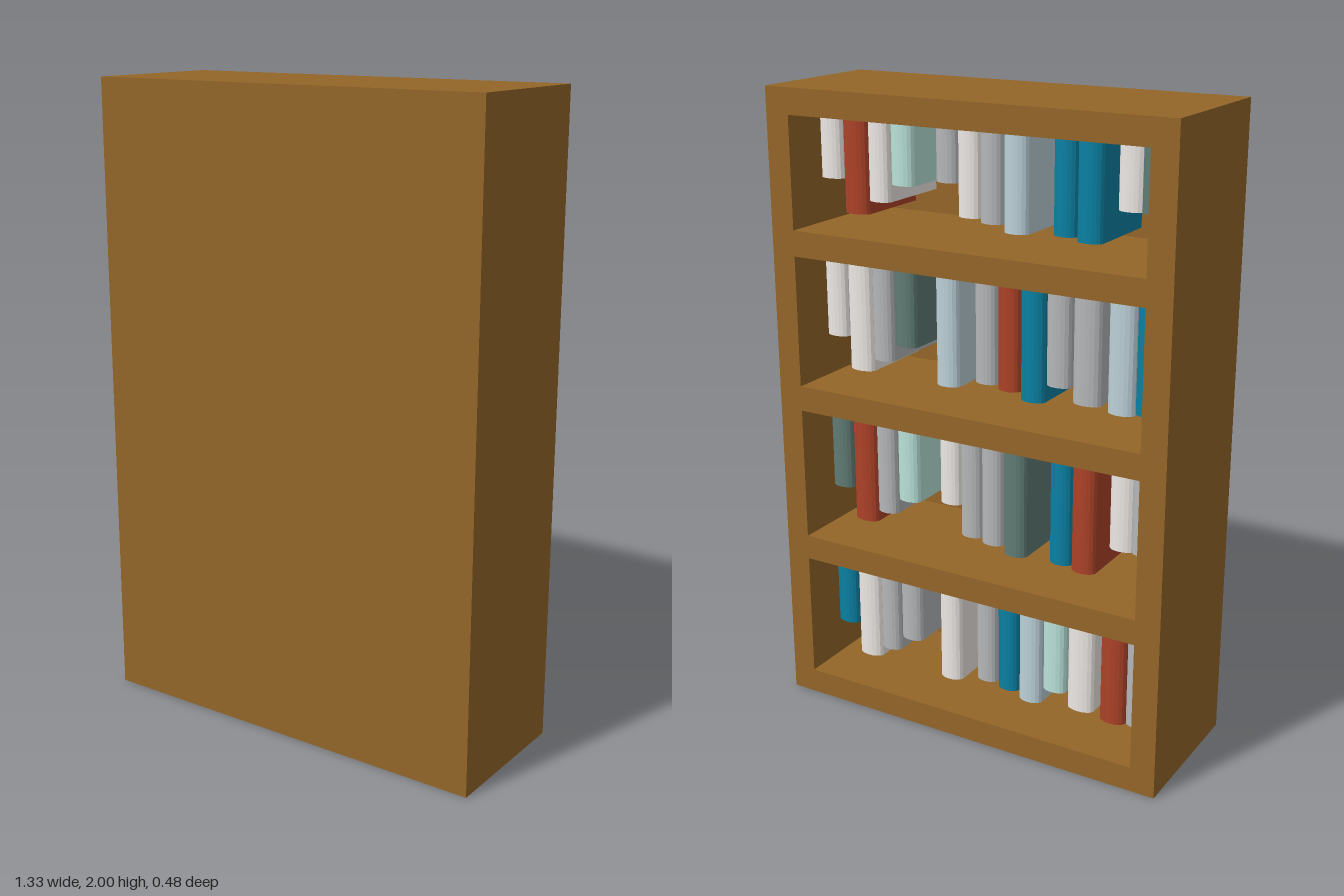
import * as THREE from 'three';

const W = 1.33, H = 2, D = 0.48, T = 0.08, PANEL = 0.04;
const INNER = W / 2 - T;            // half width of the compartments
const SPINE_Z = -0.13, BOOK_DEPTH = 0.27;

const mat = (color) => new THREE.MeshStandardMaterial({ color });
const WOOD = mat(0x946629);
const COLORS = {
  w: mat(0xece8e4), g: mat(0xb4b6b8), b: mat(0xbcd0d8), m: mat(0xb9e2d8),
  d: mat(0x5f7a74), t: mat(0x0b80a2), r: mat(0xac4228),
};
const PAGES = mat(0xf2f0ec);

// Slots: distance from the left inner wall, thickness, gap above the shelf
const SLOTS_A = [
  [0.06, 0.08, 0.146], [0.148, 0.088, 0.046], [0.232, 0.075, 0.09], [0.315, 0.08, 0.146],
  [0.47, 0.075, 0.17], [0.545, 0.075, 0.075], [0.62, 0.075, 0.065], [0.7, 0.08, 0.045],
  [0.858, 0.075, 0.055], [0.935, 0.08, 0.045], [1.06, 0.08, 0.146], [1.128, 0.075, 0.146],
];
const SLOTS_B = [
  [0.06, 0.08, 0.146], [0.148, 0.088, 0.046], [0.232, 0.075, 0.09], [0.315, 0.08, 0.146],
  [0.465, 0.08, 0.045], [0.6, 0.075, 0.075], [0.678, 0.075, 0.065], [0.757, 0.08, 0.045],
  [0.843, 0.08, 0.105], [0.935, 0.09, 0.065], [1.045, 0.085, 0.055], [1.128, 0.075, 0.065],
];
// Compartments from top to bottom: floor, ceiling, slots, book colours
const ROWS = [
  { y0: 1.575, y1: 1.92, slots: SLOTS_A, books: 'wrwmgwgbttwd' },
  { y0: 1.08, y1: 1.495, slots: SLOTS_B, books: 'wwgdbgrtggbt' },
  { y0: 0.57, y1: 1.0, slots: SLOTS_A, books: 'drgmwggdtrwg' },
  { y0: 0.08, y1: 0.49, slots: SLOTS_B, books: 'twggwgtbmwrg' },
];

function add(parent, name, geometry, material, x = 0, y = 0, z = 0) {
  const mesh = new THREE.Mesh(geometry, material);
  mesh.name = name;
  mesh.position.set(x, y, z);
  parent.add(mesh);
}

function rect(path, x0, y0, x1, y1) {
  path.moveTo(x0, y0).lineTo(x1, y0).lineTo(x1, y1).lineTo(x0, y1).closePath();
  return path;
}

// Cover: two boards joined by a rounded spine, seen from above, extruded upward
function coverGeometry(w, h) {
  const r = w / 2, b = 0.008, bulge = 0.022, s = new THREE.Shape();
  s.moveTo(-r, -BOOK_DEPTH);
  s.lineTo(-r + b, -BOOK_DEPTH);
  s.lineTo(-r + b, -bulge - b);
  s.lineTo(r - b, -bulge - b);
  s.lineTo(r - b, -BOOK_DEPTH);
  s.lineTo(r, -BOOK_DEPTH);
  s.lineTo(r, -bulge);
  s.bezierCurveTo(r * 0.8, bulge * 0.35, -r * 0.8, bulge * 0.35, -r, -bulge);
  s.closePath();
  const geo = new THREE.ExtrudeGeometry(s, { depth: h, bevelEnabled: false, curveSegments: 8 });
  return geo.rotateX(-Math.PI / 2);
}

function makeBook(w, h, cover) {
  const book = new THREE.Group();
  book.name = 'book';
  add(book, 'bookCover', coverGeometry(w, h), cover);
  const depth = BOOK_DEPTH - 0.045;
  add(book, 'bookPages', new THREE.BoxGeometry(w - 0.016, h - 0.01, depth),
    PAGES, 0, h / 2, 0.03 + depth / 2);
  return book;
}

export function createModel() {
  const model = new THREE.Group();
  model.name = 'bookcase';

  // Carcass: frame and shelves in one piece, open toward -z
  const frame = rect(new THREE.Shape(), -W / 2, 0, W / 2, H);
  for (const { y0, y1 } of ROWS) {
    frame.holes.push(rect(new THREE.Path(), -INNER, y0, INNER, y1));
  }
  const carcass = new THREE.ExtrudeGeometry(frame, { depth: D - PANEL, bevelEnabled: false });
  add(model, 'frameAndShelves', carcass, WOOD, 0, 0, -D / 2);

  // Closed panel on the +z side
  add(model, 'panel', new THREE.BoxGeometry(W, H, PANEL), WOOD, 0, H / 2, D / 2 - PANEL / 2);

  // Books reach the board above, their lower ends at different heights
  ROWS.forEach(({ y0, y1, slots, books }, i) => {
    const row = new THREE.Group();
    row.name = 'bookRow' + (i + 1);
    slots.forEach(([t, w, lift], j) => {
      const book = makeBook(w, y1 - y0 - lift - 0.005, COLORS[books[j]]);
      book.position.set(INNER - t, y0 + lift, SPINE_Z);
      row.add(book);
    });
    model.add(row);
  });
  return model;
}
